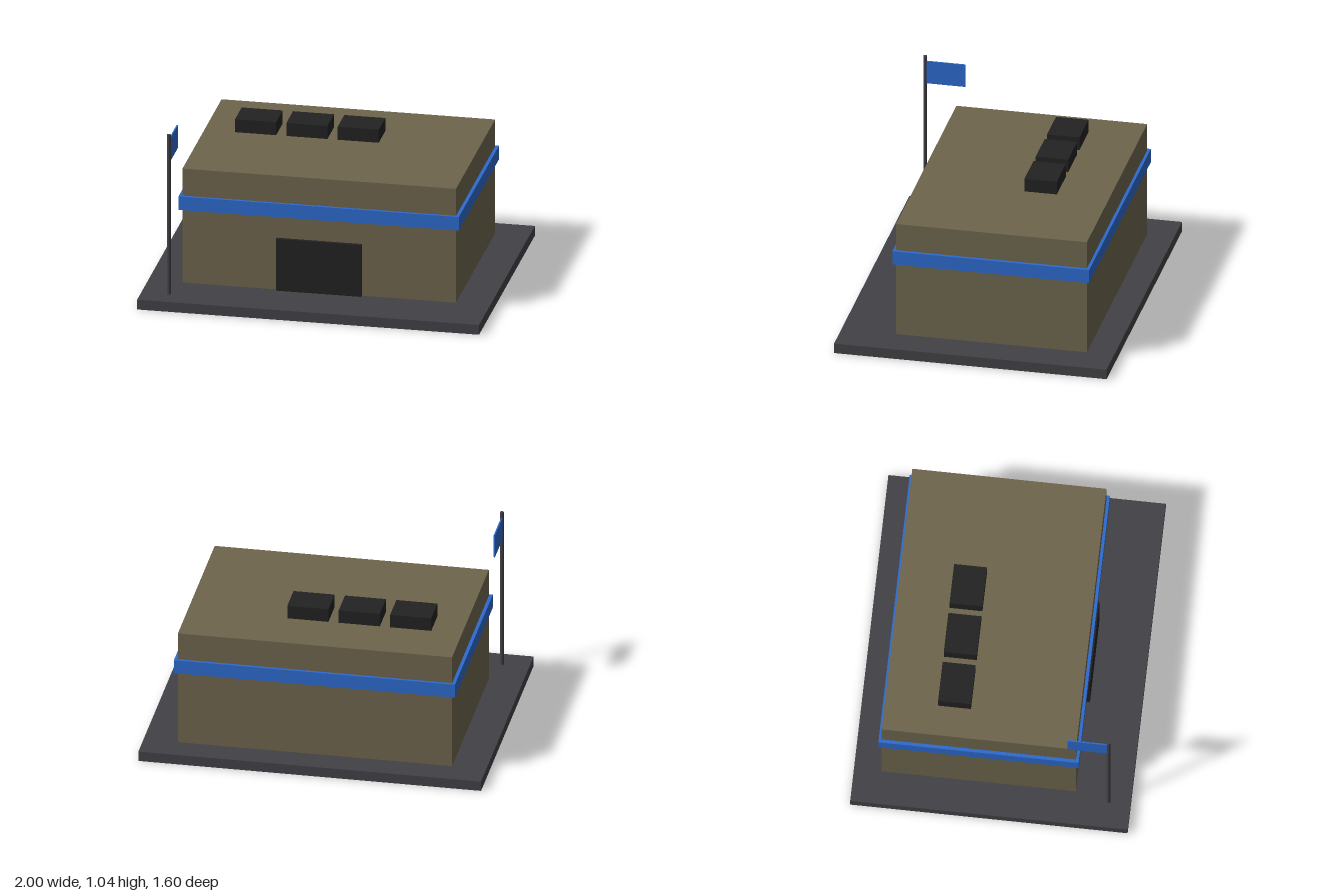
import * as THREE from 'three';

const paint = (name, color) => {
  const m = new THREE.MeshStandardMaterial({ color });
  m.name = name;
  return m;
};

export function createModel() {
  const model = new THREE.Group();
  model.name = 'building';

  const wall = paint('olive wall', 0x6e654d);
  const blue = paint('blue trim', 0x2d6acd);
  const black = paint('black', 0x222222);
  const asphalt = paint('dark grey', 0x424146);

  const add = (name, geometry, material, x, y, z) => {
    const mesh = new THREE.Mesh(geometry, material);
    mesh.name = name;
    mesh.position.set(x, y, z);
    model.add(mesh);
  };
  // Box given by its size, its centre in x and z, and its bottom height
  const box = (name, material, w, h, d, x, bottom, z) =>
    add(name, new THREE.BoxGeometry(w, h, d), material, x, bottom + h / 2, z);

  // Ground slab, main block and the band around it
  box('baseSlab', asphalt, 2, 0.06, 1.6, 0, 0, 0);
  box('mainBlock', wall, 1.6, 0.7, 1.12, 0, 0.06, -0.08);
  box('trimBand', blue, 1.64, 0.083, 1.155, 0, 0.511, -0.08);

  // Entrance door
  box('door', black, 0.5, 0.318, 0.04, 0, 0.06, 0.48);

  // Row of roof units
  for (let i = 0; i < 3; i++) {
    box('roofUnit', black, 0.24, 0.08, 0.19, -0.5 + i * 0.3, 0.76, -0.24);
  }

  // Flagpole with its flag pointing to the back
  add('flagpole', new THREE.CylinderGeometry(0.011, 0.011, 0.98, 8), asphalt, -0.84, 0.55, 0.672);
  box('flag', blue, 0.008, 0.14, 0.228, -0.84, 0.867, 0.55);

  return model;
}
